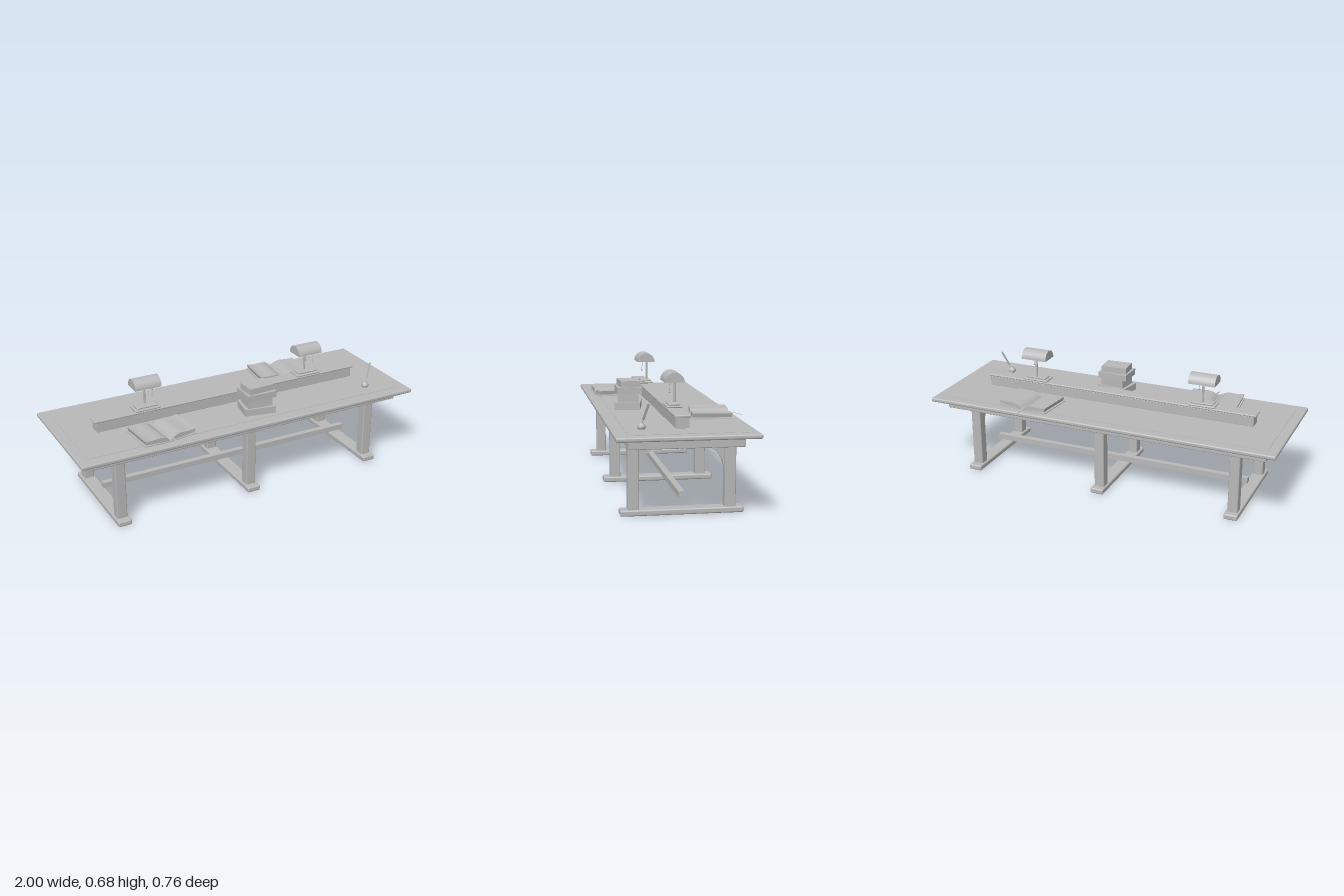
import * as THREE from 'three';
import { toCreasedNormals } from 'three/addons/utils/BufferGeometryUtils.js';
import { RoundedBoxGeometry } from 'three/addons/geometries/RoundedBoxGeometry.js';

const grey = new THREE.MeshStandardMaterial({ color: 0xb8b8b8 });
grey.name = 'plain grey';

function add(parent, name, geometry, x = 0, y = 0, z = 0) {
  const mesh = new THREE.Mesh(geometry, grey);
  mesh.name = name;
  mesh.position.set(x, y, z);
  parent.add(mesh);
  return mesh;
}

function group(parent, name, x = 0, y = 0, z = 0) {
  const g = new THREE.Group();
  g.name = name;
  g.position.set(x, y, z);
  parent.add(g);
  return g;
}

// Box given by its size, with its bottom at y = 0; r rounds the edges
function block(w, h, d, r = 0) {
  const g = r ? new RoundedBoxGeometry(w, h, d, 3, r) : new THREE.BoxGeometry(w, h, d);
  return g.translate(0, h / 2, 0);
}

// Extrude a shape, centred on its depth
function slab(shape, depth, curveSegments = 16) {
  const g = new THREE.ExtrudeGeometry(shape, { depth, bevelEnabled: false, curveSegments });
  return toCreasedNormals(g.translate(0, 0, -depth / 2), 0.6);
}

// Scalloped bracket spanning two legs
function archGeometry() {
  const s = new THREE.Shape();
  s.moveTo(-0.217, 0.357);
  s.lineTo(-0.217, 0.21);
  s.lineTo(-0.213, 0.21);
  s.bezierCurveTo(-0.21, 0.29, -0.15, 0.343, -0.07, 0.343);
  s.quadraticCurveTo(-0.035, 0.342, 0, 0.318);
  s.quadraticCurveTo(0.035, 0.342, 0.07, 0.343);
  s.bezierCurveTo(0.15, 0.343, 0.21, 0.29, 0.213, 0.21);
  s.lineTo(0.217, 0.21);
  s.lineTo(0.217, 0.357);
  return slab(s, 0.02).rotateY(Math.PI / 2);
}

function trestle(parent, x) {
  const t = group(parent, 'trestle', x);
  add(t, 'foot', block(0.076, 0.03, 0.616, 0.008));
  for (const side of [-1, 1]) {
    add(t, 'leg', block(0.056, 0.335, 0.056, 0.006), 0, 0.025, side * 0.242);
  }
  add(t, 'archBracket', archGeometry());
}

function lamp(parent, x) {
  const l = group(parent, 'lamp', x);
  add(l, 'lowerBase', block(0.148, 0.011, 0.082, 0.005), 0, 0.495);
  add(l, 'upperBase', block(0.122, 0.01, 0.058, 0.0045), 0, 0.506);
  add(l, 'stem', new THREE.CylinderGeometry(0.006, 0.006, 0.125, 12), 0, 0.577, -0.013);
  const half = new THREE.Shape();
  half.absarc(0, 0, 0.051, 0, Math.PI, false);
  add(l, 'shade', slab(half, 0.15, 24).rotateY(Math.PI / 2), 0, 0.624);
  const chain = add(l, 'pullChain', new THREE.CylinderGeometry(0.0014, 0.0014, 0.05, 6), 0.033, 0.6, 0.019);
  chain.rotation.x = -0.08;
  add(l, 'pullBall', new THREE.SphereGeometry(0.005, 12, 8), 0.033, 0.573, 0.021);
}

function openBook(parent, x, z, turn) {
  const b = group(parent, 'openBook', x, 0.428, z);
  b.rotation.y = turn;
  add(b, 'spine', block(0.03, 0.004, 0.208));
  for (const side of [-1, 1]) {
    // Page block rising from the spine, with a slanted outer edge
    const p = new THREE.Shape();
    p.moveTo(side * 0.002, 0.003);
    p.bezierCurveTo(side * 0.02, 0.03, side * 0.05, 0.037, side * 0.08, 0.034);
    p.quadraticCurveTo(side * 0.12, 0.03, side * 0.148, 0.036);
    p.lineTo(side * 0.142, 0.015);
    p.quadraticCurveTo(side * 0.08, 0.009, side * 0.002, 0.003);
    add(b, 'pages', slab(p, 0.2, 8));
    const cover = add(b, 'cover', block(0.145, 0.004, 0.208), side * 0.078, 0.002);
    cover.rotation.z = side * 0.06;
  }
  const ribbon = add(b, 'ribbon', block(0.008, 0.0015, 0.085), 0.012, 0.012, 0.132);
  ribbon.rotation.x = 0.22;
}

export function createModel() {
  const model = new THREE.Group();
  model.name = 'readingTable';

  // Table
  add(model, 'tableTop', block(2, 0.023, 0.7, 0.008), 0, 0.404);
  add(model, 'topInlay', block(1.885, 0.002, 0.58), -0.002, 0.4265, -0.005);
  add(model, 'apron', block(1.865, 0.05, 0.566, 0.004), -0.003, 0.355);
  for (const i of [-1, 0, 1]) trestle(model, -0.003 + i * 0.766);
  add(model, 'stretcher', block(1.54, 0.032, 0.032), -0.003, 0.078);

  // Raised divider carrying the lamps
  add(model, 'divider', block(1.585, 0.056, 0.069, 0.003), -0.003, 0.427, -0.001);
  add(model, 'dividerCap', block(1.61, 0.012, 0.08, 0.005), -0.003, 0.483);
  for (const side of [-1, 1]) lamp(model, -0.003 + side * 0.5);

  // Closed book stack: width, height, depth, turn
  const stack = group(model, 'bookStack', 0.08, 0.428, 0.175);
  let y = 0;
  for (const [w, h, d, turn] of [
    [0.175, 0.039, 0.138, -0.18],
    [0.14, 0.048, 0.112, -0.12],
    [0.172, 0.035, 0.134, -0.02],
    [0.146, 0.034, 0.104, 0.05],
  ]) {
    add(stack, 'closedBook', block(w, h, d), 0, y).rotation.y = turn;
    y += h;
  }

  openBook(model, -0.503, 0.2, 0.08);
  openBook(model, 0.43, -0.21, Math.PI - 0.1);

  // Inkwell and quill
  const ink = group(model, 'inkwell', 0.778, 0.427, 0.2);
  const profile = [[0, 0], [0.015, 0], [0.021, 0.007], [0.022, 0.015], [0.018, 0.024],
    [0.009, 0.029], [0.009, 0.034], [0, 0.034]];
  add(ink, 'inkPot', new THREE.LatheGeometry(profile.map(([r, h]) => new THREE.Vector2(r, h)), 20));
  const quill = group(ink, 'quill', 0.004, 0.025, 0);
  quill.quaternion.setFromUnitVectors(new THREE.Vector3(0, 1, 0),
    new THREE.Vector3(0.045, 0.108, -0.03).normalize());
  add(quill, 'quillShaft', new THREE.CylinderGeometry(0.002, 0.002, 0.04, 8), 0, 0.02);
  add(quill, 'quillFeather', block(0.004, 0.09, 0.012), 0, 0.028);

  return model;
}
